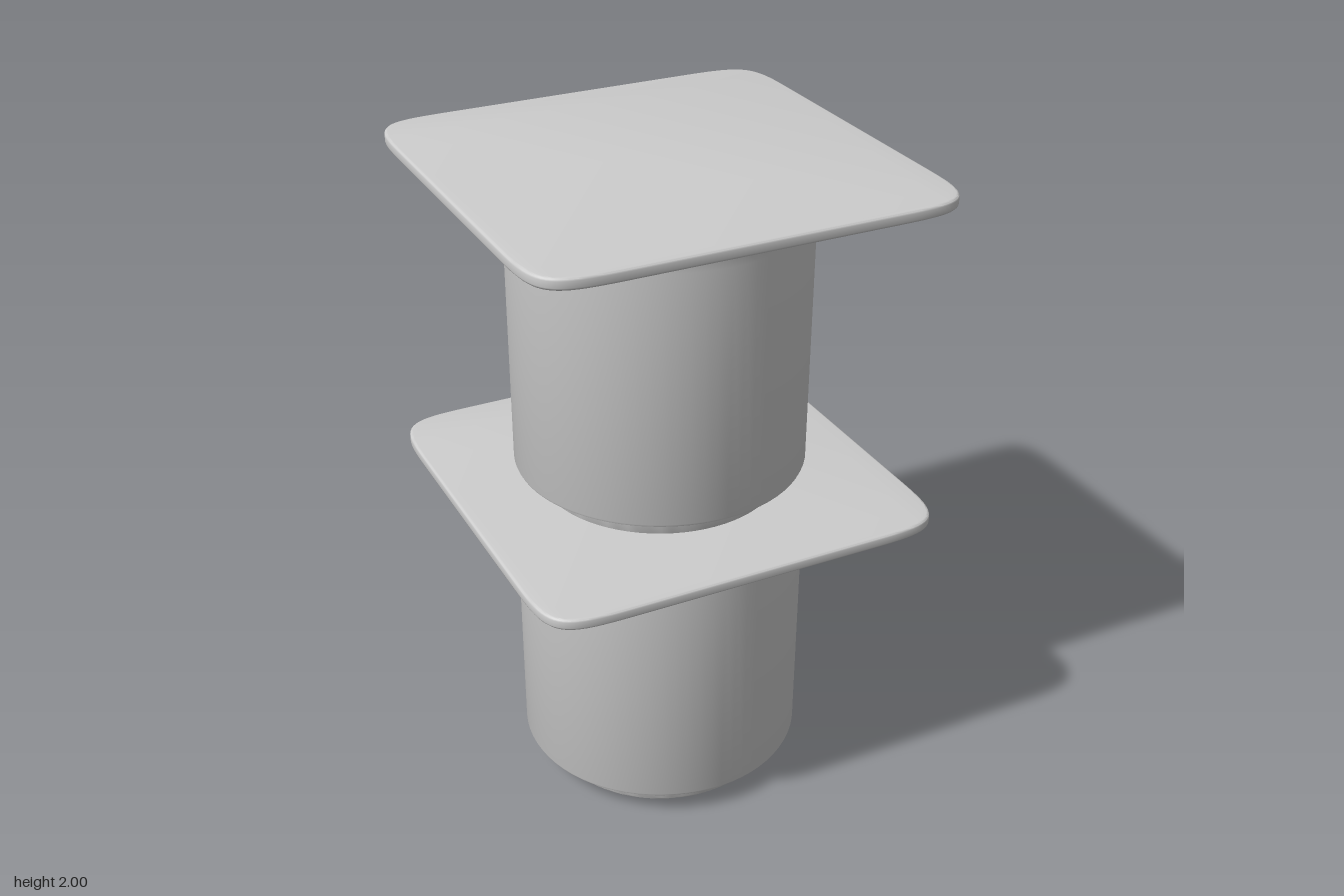
import * as THREE from 'three';
import { toCreasedNormals } from 'three/addons/utils/BufferGeometryUtils.js';

const material = new THREE.MeshStandardMaterial({ color: 0xcccccc });
const HALF = 0.625, PLATE_TOP = 1.007, PLATE_BOTTOM = 0.973, STEP = 0.993;

// Square outline with soft, slowly tightening corners
function plateShape(h) {
  const a = h - 0.225, c = h - 0.02;
  const s = new THREE.Shape();
  s.moveTo(h, -a);
  s.lineTo(h, a);
  s.bezierCurveTo(h, c, c, h, a, h);
  s.lineTo(-a, h);
  s.bezierCurveTo(-c, h, -h, c, -h, a);
  s.lineTo(-h, -a);
  s.bezierCurveTo(-h, -c, -c, -h, -a, -h);
  s.lineTo(a, -h);
  s.bezierCurveTo(c, -h, h, -c, h, -a);
  return s;
}

function makePlate() {
  const bevel = 0.008;
  const geo = new THREE.ExtrudeGeometry(plateShape(HALF - bevel), {
    depth: PLATE_TOP - PLATE_BOTTOM - 2 * bevel,
    bevelSize: bevel, bevelThickness: bevel, bevelSegments: 3, curveSegments: 20,
  });
  geo.rotateX(-Math.PI / 2);
  geo.translate(0, PLATE_BOTTOM + bevel, 0);
  return new THREE.Mesh(toCreasedNormals(geo, 0.6), material);
}

function makeLathe(points) {
  const geo = new THREE.LatheGeometry(points.map(([r, y]) => new THREE.Vector2(r, y)), 72);
  return new THREE.Mesh(toCreasedNormals(geo, 0.6), material);
}

function makeUnit(name) {
  const unit = new THREE.Group();
  unit.name = name;

  // Narrow foot under the body
  const foot = makeLathe([[0, 0], [0.355, 0], [0.362, 0.003], [0.366, 0.01], [0.366, 0.09]]);
  foot.name = 'foot';

  // Round body flaring out into the underside of the plate
  const body = makeLathe([
    [0, 0.08], [0.43, 0.08], [0.437, 0.083], [0.44, 0.09], [0.441, 0.86], [0.443, 0.895],
    [0.449, 0.922], [0.46, 0.943], [0.477, 0.957], [0.505, 0.967], [0.545, 0.973], [0.56, 0.976],
  ]);
  body.name = 'body';

  const plate = makePlate();
  plate.name = 'plate';

  unit.add(foot, body, plate);
  return unit;
}

export function createModel() {
  const model = new THREE.Group();
  model.name = 'stackedPedestals';
  ['lowerUnit', 'upperUnit'].forEach((name, i) => {
    const unit = makeUnit(name);
    unit.position.y = i * STEP;
    model.add(unit);
  });
  return model;
}
